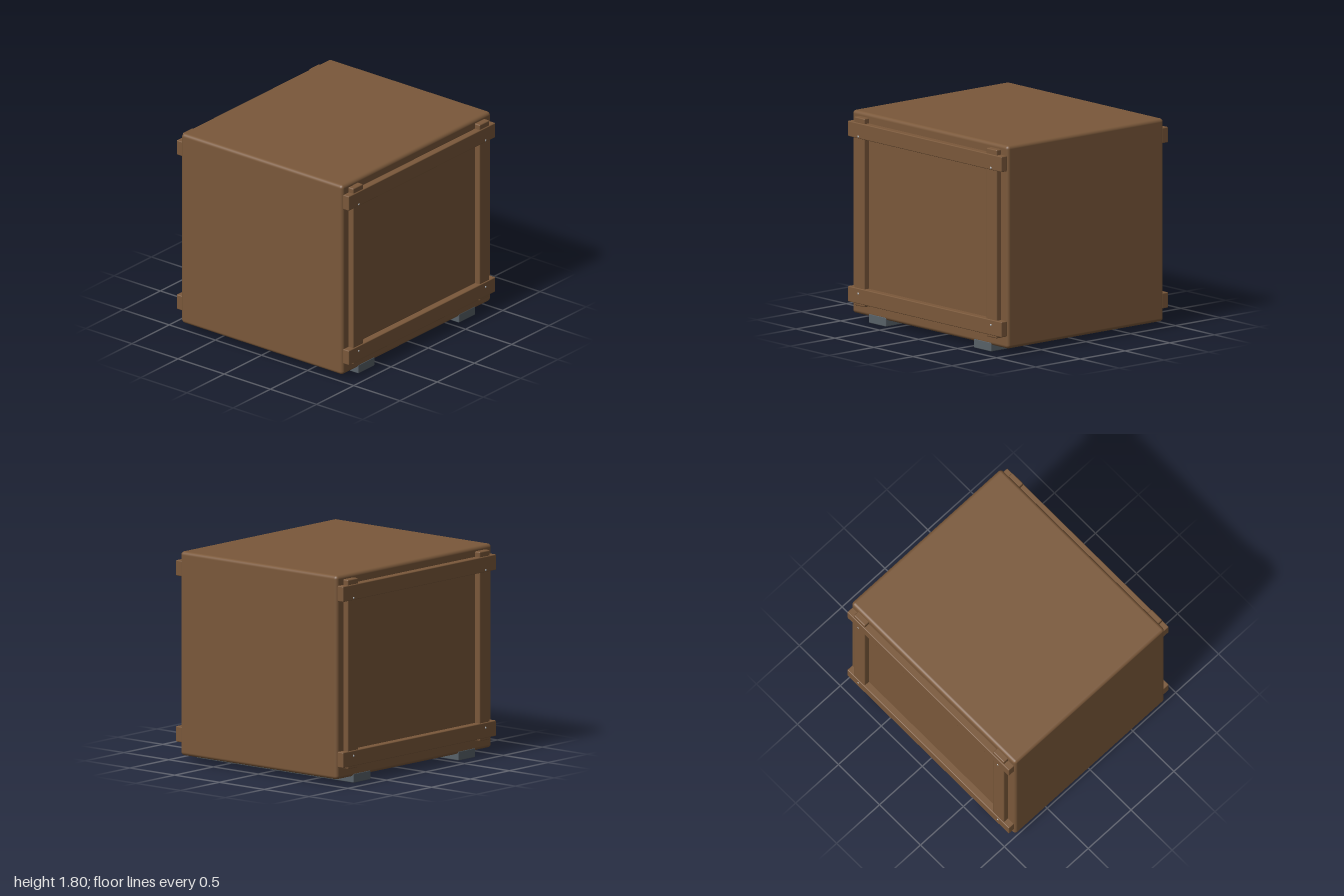
import * as THREE from 'three';
import { RoundedBoxGeometry } from 'three/addons/geometries/RoundedBoxGeometry.js';

const wood = new THREE.MeshStandardMaterial({ color: 0x7a583a });
const iron = new THREE.MeshStandardMaterial({ color: 0x586168 });
const steel = new THREE.MeshStandardMaterial({ color: 0xb0b4b8 });

// Rounded block given by its min and max corners
function block(name, [x0, y0, z0], [x1, y1, z1], radius, material, segments = 2) {
  const geometry = new RoundedBoxGeometry(x1 - x0, y1 - y0, z1 - z0, segments, radius);
  const mesh = new THREE.Mesh(geometry, material);
  mesh.position.set((x0 + x1) / 2, (y0 + y1) / 2, (z0 + z1) / 2);
  mesh.name = name;
  return mesh;
}

// Timber frame for one end: two posts, two rails over them and four nails
function createFrame(name) {
  const frame = new THREE.Group();
  frame.name = name;
  for (const x of [-0.848, 0.848]) {
    frame.add(block('post', [x - 0.067, 0.14, 0.865], [x + 0.067, 1.765, 0.926], 0.01, wood));
  }
  for (const y of [0.228, 1.652]) {
    frame.add(block('rail', [-0.985, y - 0.067, 0.868], [0.985, y + 0.067, 0.934], 0.008, wood));
  }
  const nailGeometry = new THREE.SphereGeometry(0.01, 12, 6, 0, Math.PI * 2, 0, Math.PI / 2);
  nailGeometry.scale(1, 0.6, 1).rotateX(Math.PI / 2);
  for (const x of [-0.85, 0.85]) {
    for (const y of [0.25, 1.603]) {
      const nail = new THREE.Mesh(nailGeometry, steel);
      nail.name = 'nail';
      nail.position.set(x, y, 0.933);
      frame.add(nail);
    }
  }
  return frame;
}

export function createModel() {
  const crate = new THREE.Group();
  crate.name = 'crate';

  // Main box
  crate.add(block('crateBody', [-1, 0.055, -0.875], [1, 1.803, 0.875], 0.03, wood, 4));

  // Runners underneath, front to back
  for (const x of [-0.675, 0.675]) {
    crate.add(block('runner', [x - 0.111, 0, -0.876], [x + 0.111, 0.08, 0.876], 0.008, iron));
  }

  // Frames on the front and back
  const backFrame = createFrame('backFrame');
  backFrame.rotation.y = Math.PI;
  crate.add(createFrame('frontFrame'), backFrame);
  return crate;
}
